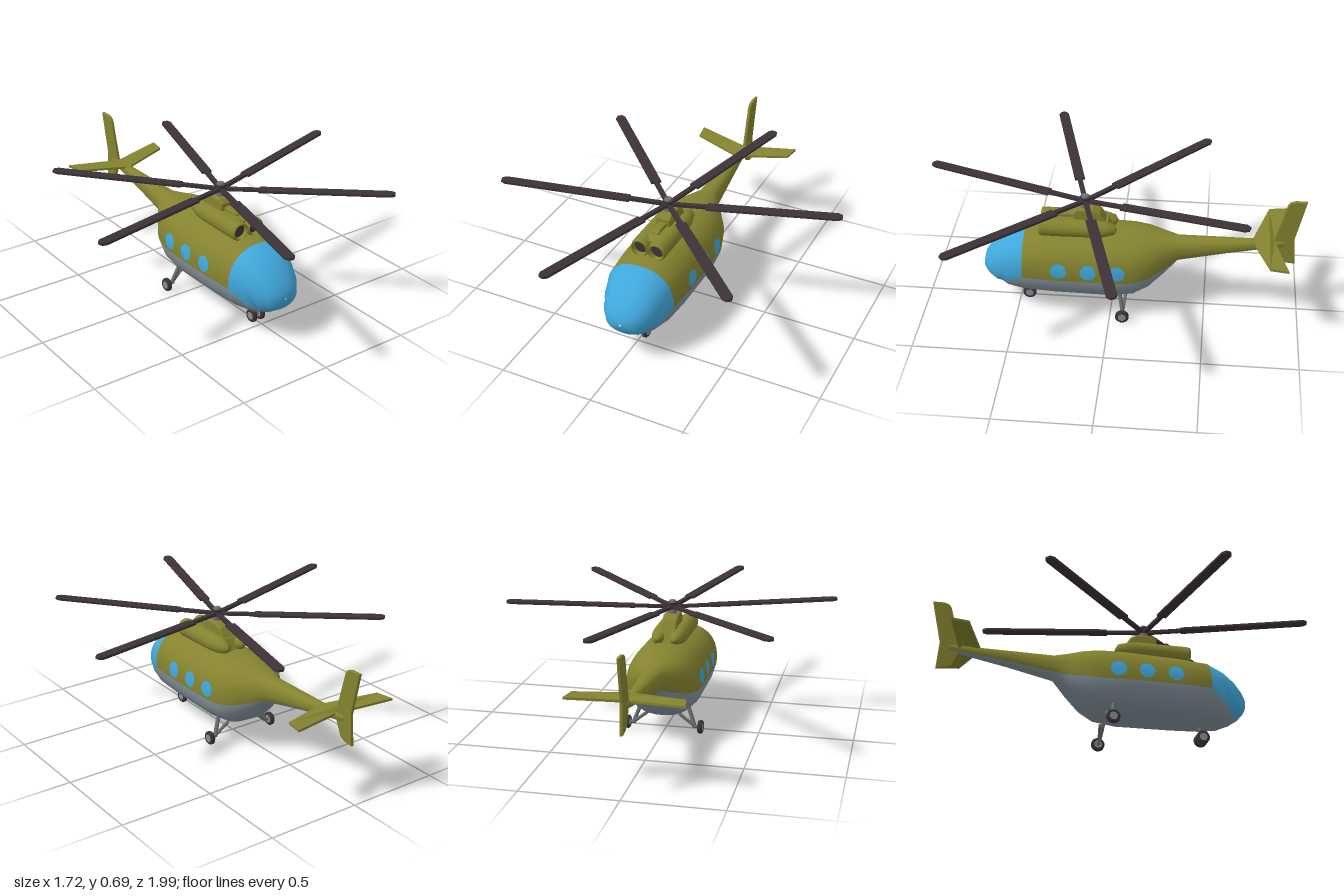
import * as THREE from 'three';

const mat = (name, color, side = THREE.FrontSide) => {
  const m = new THREE.MeshStandardMaterial({ color, side });
  m.name = name;
  return m;
};

// Hull stations: z, top, widest height, bottom, half width, paint line height
const STATIONS = [
  [0.685, 0.24, 0.235, 0.23, 0.005, 0.23],
  [0.68, 0.275, 0.235, 0.195, 0.06, 0.195],
  [0.655, 0.315, 0.235, 0.165, 0.095, 0.165],
  [0.61, 0.365, 0.245, 0.135, 0.13, 0.145],
  [0.55, 0.41, 0.255, 0.11, 0.158, 0.19],
  [0.46, 0.45, 0.265, 0.1, 0.188, 0.25],
  [0.3, 0.46, 0.27, 0.095, 0.2, 0.25],
  [0, 0.472, 0.27, 0.09, 0.2, 0.25],
  [-0.12, 0.47, 0.28, 0.105, 0.19, 0.25],
  [-0.2, 0.46, 0.3, 0.15, 0.165, 0.265],
  [-0.28, 0.445, 0.33, 0.225, 0.11, 0.29],
  [-0.35, 0.435, 0.365, 0.3, 0.06, 0.325],
  [-0.6, 0.44, 0.395, 0.355, 0.04, 0.37],
  [-0.9, 0.446, 0.43, 0.41, 0.014, 0.418],
  [-0.91, 0.431, 0.43, 0.429, 0.001, 0.4295],
];
const GLASS_END = 5; // station where the windscreen stops
const N = 2.3; // roundness of the hull section

// Half width of the hull at a given height and z
function hullX(y, z) {
  const i = Math.max(0, STATIONS.findIndex((s) => s[0] <= z) - 1);
  const a = STATIONS[i], b = STATIONS[i + 1], t = (a[0] - z) / (a[0] - b[0]);
  const [, top, mid, bot, w] = a.map((v, k) => v + (b[k] - v) * t);
  const r = Math.min(1, Math.abs((y - mid) / (y > mid ? top - mid : mid - bot)));
  return w * (1 - r ** N) ** (1 / N);
}

function hullGeometry() {
  const U = 24, L = 20, n = U + L, pos = [];
  const bend = (v) => Math.sign(v) * Math.abs(v) ** (2 / N);
  for (const [z, top, mid, bot, w, split] of STATIONS) {
    const r = Math.min(1, Math.max(0, (mid - split) / (mid - bot)));
    const s = -Math.asin(r ** (N / 2)); // angle of the paint line
    for (let j = 0; j < n; j++) {
      const a = j < U ? s + (Math.PI - 2 * s) * j / U
        : Math.PI - s + (Math.PI + 2 * s) * (j - U) / L;
      const sn = Math.sin(a);
      pos.push(w * bend(Math.cos(a)), mid + bend(sn) * (sn > 0 ? top - mid : mid - bot), z);
    }
  }
  const faces = [[], [], []]; // upper, lower, glass
  for (let i = 0; i < STATIONS.length - 1; i++) {
    for (let j = 0; j < n; j++) {
      const a = i * n + j, b = i * n + (j + 1) % n;
      faces[j >= U ? 1 : i < GLASS_END ? 2 : 0].push(a, a + n, b, b, a + n, b + n);
    }
  }
  const g = new THREE.BufferGeometry();
  g.setAttribute('position', new THREE.Float32BufferAttribute(pos, 3));
  g.setIndex(faces.flat());
  let start = 0;
  faces.forEach((f, k) => { g.addGroup(start, f.length, k); start += f.length; });
  g.computeVertexNormals();
  return g;
}

const shapeOf = (pts) => new THREE.Shape(pts.map(([x, y]) => new THREE.Vector2(x, y)));

// Extrude an outline centred on its own plane
function slab(pts, depth, bevel = 0) {
  const g = new THREE.ExtrudeGeometry(shapeOf(pts), {
    depth, bevelEnabled: bevel > 0, bevelSize: bevel, bevelThickness: bevel,
    bevelOffset: -bevel, bevelSegments: 3,
  });
  return g.translate(0, 0, -depth / 2);
}

export function createModel() {
  const model = new THREE.Group();
  model.name = 'helicopter';
  const olive = mat('olive paint', 0x85832f);
  const grey = mat('grey underside', 0x82919a);
  const blue = mat('blue glass', 0x40a8dc, THREE.DoubleSide);
  const dark = mat('dark rotor', 0x3c3238);
  const metal = mat('gear metal', 0x6c706e);

  const add = (name, geo, material, parent = model) => {
    const m = new THREE.Mesh(geo, material);
    m.name = name;
    parent.add(m);
    return m;
  };
  const rod = (name, from, to, r, parent) => {
    const a = new THREE.Vector3(...from), b = new THREE.Vector3(...to), d = b.clone().sub(a);
    const m = add(name, new THREE.CylinderGeometry(r, r, d.length(), 12), metal, parent);
    m.position.copy(a).add(b).multiplyScalar(0.5);
    m.quaternion.setFromUnitVectors(new THREE.Vector3(0, 1, 0), d.normalize());
  };
  const wheel = (x, z, parent) => {
    const g = new THREE.Group();
    g.name = 'wheel';
    g.position.set(x, 0.036, z);
    const tyre = [[0.02, -0.011], [0.03, -0.013], [0.036, -0.007], [0.036, 0.007], [0.03, 0.013], [0.02, 0.011]]
      .map(([r, y]) => new THREE.Vector2(r, y));
    add('tyre', new THREE.LatheGeometry(tyre, 24).rotateZ(Math.PI / 2), dark, g);
    add('wheelHub', new THREE.CylinderGeometry(0.021, 0.021, 0.024, 20).rotateZ(Math.PI / 2), grey, g);
    parent.add(g);
  };

  add('fuselage', hullGeometry(), [olive, grey, blue]);

  // Round cabin windows that follow the hull
  for (const side of [-1, 1]) {
    for (const z of [0.265, 0.11, -0.04]) {
      const g = new THREE.RingGeometry(0, 0.042, 28, 4);
      const p = g.attributes.position;
      for (let i = 0; i < p.count; i++) {
        const wz = z + p.getX(i), wy = 0.31 + p.getY(i);
        p.setXYZ(i, side * (hullX(wy, wz) + 0.004), wy, wz);
      }
      if (side > 0) g.index.array.reverse();
      g.computeVertexNormals();
      add('cabinWindow', g, blue);
    }
  }

  // Engine nacelles with dark intakes
  for (const side of [-1, 1]) {
    const engine = new THREE.Group();
    engine.name = 'engine';
    engine.position.set(side * 0.047, 0.49, 0);
    const prof = [[0.001, -0.03], [0.028, -0.015], [0.044, 0.04], [0.049, 0.1], [0.05, 0.36], [0.046, 0.378], [0.038, 0.378], [0.034, 0.34]]
      .map(([r, z]) => new THREE.Vector2(r, z));
    add('nacelle', new THREE.LatheGeometry(prof, 28).rotateX(Math.PI / 2), olive, engine);
    add('intake', new THREE.CircleGeometry(0.037, 24).translate(0, 0, 0.355), dark, engine);
    model.add(engine);
  }

  // Fairings between and above the engines
  const deck = slab([[0.34, 0.44], [0.34, 0.525], [0.3, 0.54], [0.02, 0.53], [-0.03, 0.44]], 0.07, 0.01);
  add('engineDeck', deck.rotateY(-Math.PI / 2), olive);
  const pylon = slab([[0.205, 0.47], [0.205, 0.575], [0.185, 0.597], [0.1, 0.598], [0.06, 0.578], [-0.02, 0.45]], 0.06, 0.012);
  add('rotorPylon', pylon.rotateY(-Math.PI / 2), olive);
  const scoop = slab([[0.3, 0.52], [0.295, 0.548], [0.27, 0.557], [0.19, 0.557], [0.19, 0.52]], 0.03, 0.006);
  add('deckScoop', scoop.rotateY(-Math.PI / 2), olive);

  // Tail surfaces
  const fin = slab([[-0.84, 0.43], [-0.87, 0.54], [-0.902, 0.665], [-0.915, 0.682], [-0.94, 0.69], [-1, 0.69],
    [-0.952, 0.46], [-0.965, 0.305], [-0.915, 0.31], [-0.885, 0.325], [-0.868, 0.36]], 0.008, 0.005);
  add('tailFin', fin.rotateY(-Math.PI / 2), olive);
  const plane = slab([[0, -0.735], [0.275, -0.825], [0.29, -0.918], [0, -0.85], [-0.29, -0.918], [-0.275, -0.825]], 0.012);
  plane.rotateX(Math.PI / 2);
  const pp = plane.attributes.position;
  for (let i = 0; i < pp.count; i++) pp.setY(i, pp.getY(i) + 0.434 + 0.06 * Math.abs(pp.getX(i)));
  plane.computeVertexNormals();
  add('tailplane', plane, olive);

  // Main rotor
  const rotor = new THREE.Group();
  rotor.name = 'mainRotor';
  rotor.position.set(0, 0.63, 0.14);
  add('mast', new THREE.CylinderGeometry(0.022, 0.026, 0.06, 20).translate(0, -0.02, 0), metal, rotor);
  add('rotorHub', new THREE.CylinderGeometry(0.027, 0.027, 0.036, 20).translate(0, 0.008, 0), dark, rotor);
  add('hubCap', new THREE.CylinderGeometry(0.018, 0.022, 0.012, 20).translate(0, 0.03, 0), metal, rotor);
  for (let i = 0; i < 6; i++) {
    const blade = new THREE.Group();
    blade.name = 'rotorBlade';
    blade.rotation.set(0, -THREE.MathUtils.degToRad(60 * i - 14.5), 0.041);
    const outline = [[0.2, -0.027], [0.862, -0.027], [0.884, -0.013], [0.884, 0.013], [0.862, 0.027], [0.2, 0.027]];
    add('blade', slab(outline, 0.008, 0.004).rotateX(Math.PI / 2), dark, blade);
    add('bladeArm', new THREE.BoxGeometry(0.21, 0.016, 0.024).translate(0.11, 0, 0), dark, blade);
    rotor.add(blade);
  }
  model.add(rotor);

  // Nose gear
  const nose = new THREE.Group();
  nose.name = 'noseGear';
  rod('noseStrut', [0, 0.12, 0.44], [0, 0.034, 0.45], 0.011, nose);
  rod('noseAxle', [-0.024, 0.036, 0.45], [0.024, 0.036, 0.45], 0.008, nose);
  for (const x of [-0.025, 0.025]) wheel(x, 0.45, nose);
  model.add(nose);

  // Main gear
  for (const s of [-1, 1]) {
    const gear = new THREE.Group();
    gear.name = 'mainGear';
    rod('shockStrut', [s * 0.125, 0.15, -0.05], [s * 0.165, 0.042, -0.07], 0.011, gear);
    rod('sideBrace', [s * 0.085, 0.105, -0.08], [s * 0.165, 0.04, -0.07], 0.009, gear);
    rod('mainAxle', [s * 0.155, 0.038, -0.07], [s * 0.2, 0.036, -0.07], 0.009, gear);
    wheel(s * 0.198, -0.07, gear);
    model.add(gear);
  }
  return model;
}
